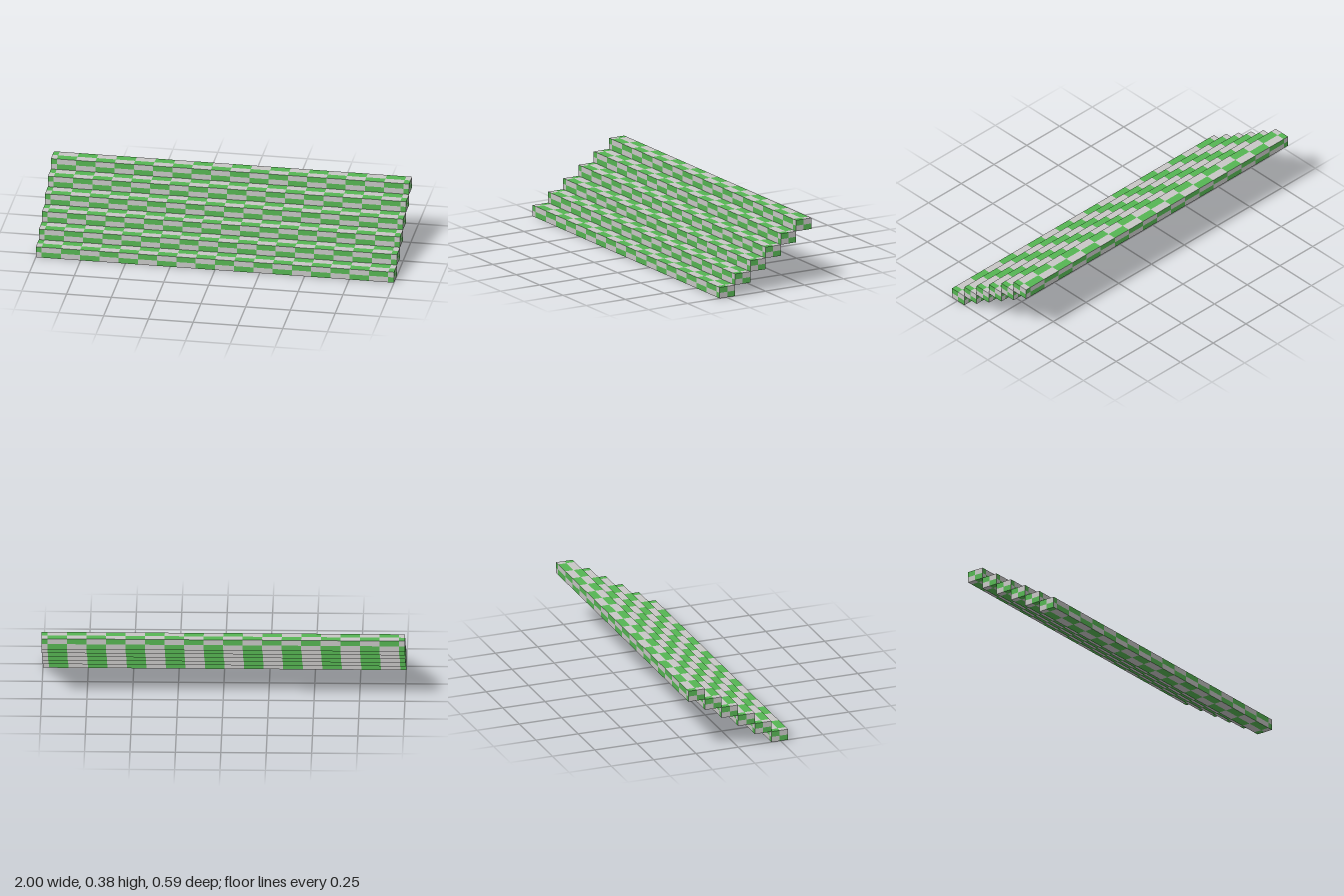
import * as THREE from 'three';
import { mergeGeometries } from 'three/addons/utils/BufferGeometryUtils.js';

const STEPS = 6, WIDTH = 2, RISE = 0.0628, TREAD = 0.098, CELL = 0.1075;

// Checkered rectangle facing +z: two rows of cells, columns counted from the centre.
// Returns plane cells sorted into [grey, green].
function checkerPanel(width, height, cell, parity) {
  const out = [[], []];
  const n = Math.ceil(width / 2 / cell - 1e-6);
  for (let row = 0; row < 2; row++) {
    for (let i = -n; i < n; i++) {
      const a = Math.max(i * cell, -width / 2);
      const b = Math.min((i + 1) * cell, width / 2);
      const green = (Math.abs(i) + row + parity) % 2;
      const quad = new THREE.PlaneGeometry(b - a, height / 2);
      quad.translate((a + b) / 2, (row - 0.5) * height / 2, 0);
      out[green].push(quad);
    }
  }
  return out;
}

// The six faces of one step, as [grey geometry, green geometry]
function stepGeometries() {
  const H = Math.PI / 2;
  const faces = [
    // width, height, cell, parity, rotX, rotY, offset
    [WIDTH, RISE, CELL, 0, 0, 0, TREAD / 2],           // front
    [WIDTH, RISE, CELL, 0, 0, Math.PI, TREAD / 2],     // back
    [WIDTH, TREAD, CELL, 0, -H, 0, RISE / 2],          // top
    [WIDTH, TREAD, CELL, 0, H, 0, RISE / 2],           // underside
    [TREAD, RISE, TREAD / 2, 1, 0, H, WIDTH / 2],      // left end
    [TREAD, RISE, TREAD / 2, 1, 0, -H, WIDTH / 2],     // right end
  ];
  const sorted = [[], []];
  for (const [w, h, cell, parity, rx, ry, offset] of faces) {
    checkerPanel(w, h, cell, parity).forEach((quads, colour) => {
      for (const q of quads) {
        q.translate(0, 0, offset).rotateX(rx).rotateY(ry);
        sorted[colour].push(q);
      }
    });
  }
  return sorted.map((list) => mergeGeometries(list));
}

export function createModel() {
  const grey = new THREE.MeshStandardMaterial({ name: 'light grey', color: 0xc8c7c6 });
  const green = new THREE.MeshStandardMaterial({ name: 'green', color: 0x56b653 });

  const stairs = new THREE.Group();
  stairs.name = 'stairs';
  const [greyGeo, greenGeo] = stepGeometries();

  // Each step sits one rise higher and one tread further back
  for (let i = 0; i < STEPS; i++) {
    const step = new THREE.Group();
    step.name = `step${i + 1}`;
    const greyCells = new THREE.Mesh(greyGeo, grey);
    greyCells.name = 'greyChecks';
    const greenCells = new THREE.Mesh(greenGeo, green);
    greenCells.name = 'greenChecks';
    step.add(greyCells, greenCells);
    step.position.set(0, (i + 0.5) * RISE, ((STEPS - 1) / 2 - i) * TREAD);
    stairs.add(step);
  }
  return stairs;
}
